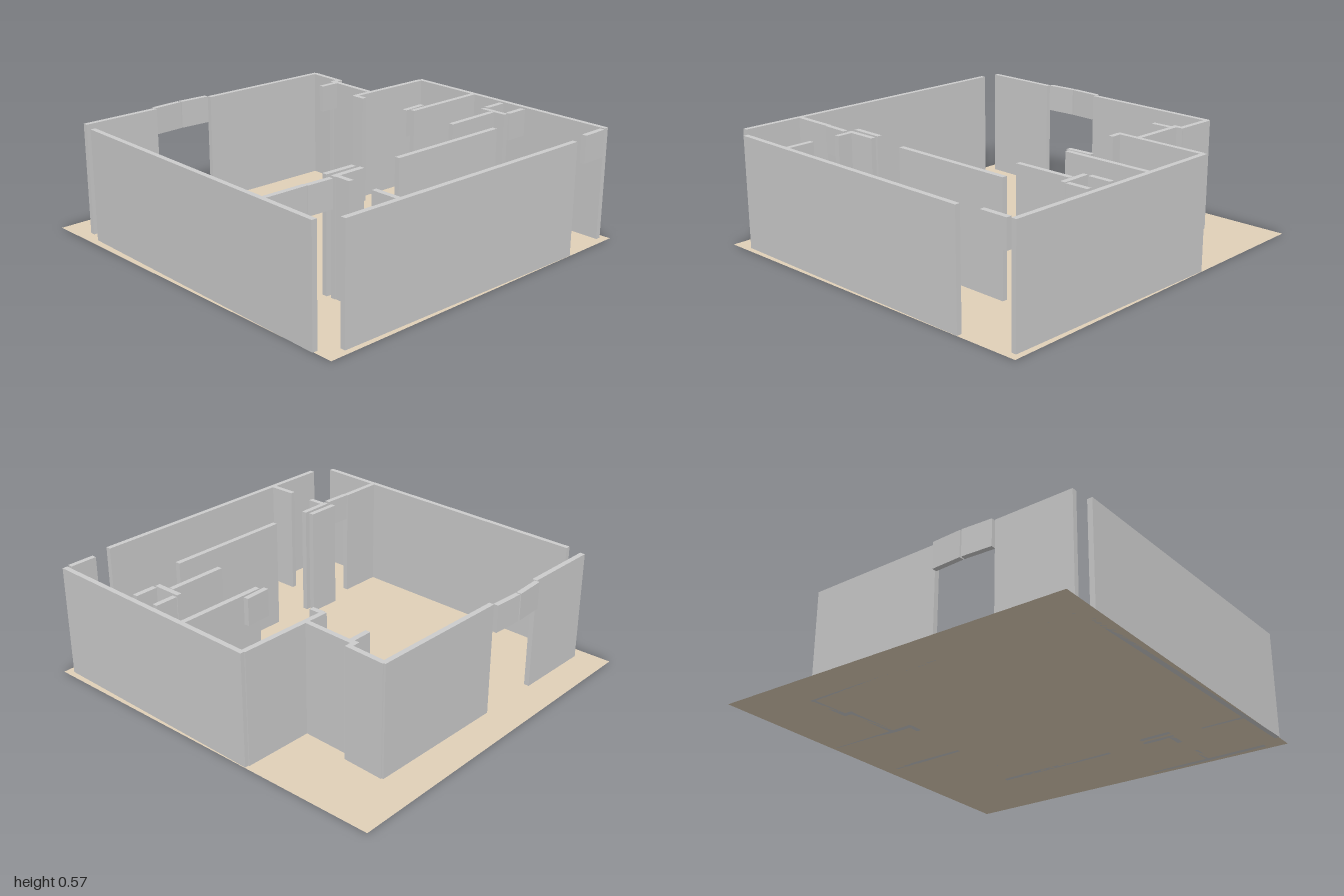
import * as THREE from 'three';

const HEIGHT = 0.575, LINTEL_BOTTOM = 0.435, THICK = 0.027;

// Plan centre lines: [name, x1, z1, x2, z2]
const WALLS = [
  ['leftOuterWall', -0.903, -0.73, -0.946, 0.895],
  ['rightOuterWall', 0.938, -0.29, 0.91, 0.96],
  ['frontOuterWall', -0.85, 0.957, 0.625, 0.985],
  ['backWallLeft', -0.887, -0.823, -0.475, -0.815],
  ['backWallRight', -0.135, -0.808, 0.615, -0.79],
  ['backCornerWall', 0.608, -0.795, 0.597, -0.58],
  ['backStepWall', 0.545, -0.587, 0.61, -0.587],
  ['backSideWall', 0.562, -0.585, 0.552, -0.295],
  ['sideReturnWall', 0.43, -0.295, 0.93, -0.282],
  ['sideReturnStub', 0.441, -0.295, 0.441, -0.225],
  ['rightPartition', 0.452, 0.107, 0.92, 0.11],
  ['closetPartition', 0.415, 0.4, 0.726, 0.4],
  ['closetPost', 0.743, 0.325, 0.743, 0.477],
  ['centrePartition', -0.155, 0.583, 0.515, 0.592],
  ['leftPartition', -0.925, 0.567, -0.7, 0.571],
  ['leftRoomFacing', -0.545, 0.523, -0.372, 0.527],
  ['leftRoomWall', -0.541, 0.572, -0.365, 0.572],
  ['leftRoomStub', -0.523, 0.57, -0.523, 0.667],
  ['frontStub', -0.531, 0.81, -0.531, 0.96],
];

// Short panels hanging over the openings
const LINTELS = [
  ['backLintelLeft', -0.47, -0.832, -0.307, -0.839],
  ['backLintelRight', -0.3, -0.839, -0.137, -0.829],
  ['backSideLintel', 0.442, -0.56, 0.552, -0.56],
  ['rightRoomLintel', 0.43, 0.073, 0.567, 0.068],
  ['closetLintelBack', 0.77, 0.327, 0.89, 0.327],
  ['closetLintelFront', 0.765, 0.471, 0.885, 0.471],
  ['leftRoomLintel', -0.7, 0.575, -0.56, 0.581],
  ['frontLintel', 0.735, 0.957, 0.882, 0.957],
];

export function createModel() {
  const model = new THREE.Group();
  model.name = 'floorPlan';
  const wallMaterial = new THREE.MeshStandardMaterial({ color: 0xcccccc });
  const floorMaterial = new THREE.MeshStandardMaterial({ color: 0xe0d0b8, side: THREE.DoubleSide });

  // Thin floor sheet
  const floor = new THREE.Mesh(new THREE.PlaneGeometry(1.91, 2).rotateX(-Math.PI / 2), floorMaterial);
  floor.name = 'floor';
  model.add(floor);

  // Upright slab along a plan line
  function addSlab(group, [name, x1, z1, x2, z2], bottom) {
    const length = Math.hypot(x2 - x1, z2 - z1);
    const slab = new THREE.Mesh(new THREE.BoxGeometry(length, HEIGHT - bottom, THICK), wallMaterial);
    slab.name = name;
    slab.position.set((x1 + x2) / 2, (HEIGHT + bottom) / 2, (z1 + z2) / 2);
    slab.rotation.y = -Math.atan2(z2 - z1, x2 - x1);
    group.add(slab);
  }

  const walls = new THREE.Group();
  walls.name = 'walls';
  WALLS.forEach((line) => addSlab(walls, line, 0));

  const lintels = new THREE.Group();
  lintels.name = 'lintels';
  LINTELS.forEach((line) => addSlab(lintels, line, LINTEL_BOTTOM));

  model.add(walls, lintels);
  return model;
}
